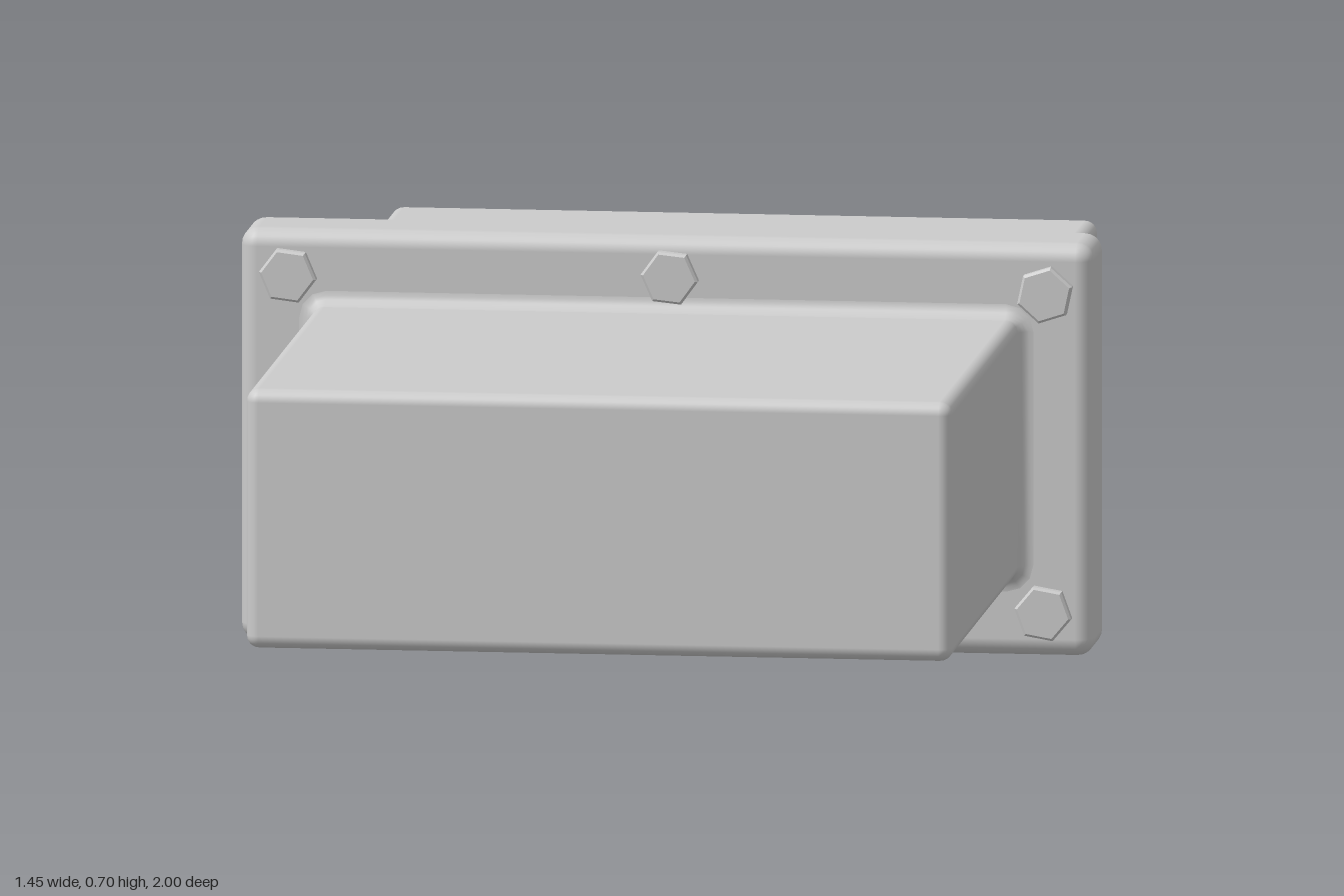
import * as THREE from 'three';
import { RoundedBoxGeometry } from 'three/addons/geometries/RoundedBoxGeometry.js';

const material = new THREE.MeshStandardMaterial({ color: 0xcccccc });
const DUCT = { w: 1.2, h: 0.443, d: 2, y: 0.356, r: 0.022 };
const FLANGE = { w: 1.45, h: 0.705, d: 0.157, y: 0.3525, r: 0.03 };

function roundedBlock(name, { w, h, d, y, r }) {
  const mesh = new THREE.Mesh(new RoundedBoxGeometry(w, h, d, 3, r), material);
  mesh.name = name;
  mesh.position.y = y;
  return mesh;
}

// Concave weld running round the duct where it meets the flange face
function filletGeometry(radius) {
  const steps = 5, perCorner = 4, count = perCorner * 4;
  const cx = DUCT.w / 2 - DUCT.r, cy = DUCT.h / 2 - DUCT.r;
  const positions = [], index = [];
  for (let i = 0; i <= steps; i++) {
    const t = (i / steps) * Math.PI / 2;
    const grow = DUCT.r + radius * (1 - Math.cos(t));
    const z = FLANGE.d / 2 + radius * (1 - Math.sin(t));
    for (let k = 0; k < 4; k++) {
      const sx = k === 0 || k === 3 ? 1 : -1, sy = k < 2 ? 1 : -1;
      for (let j = 0; j < perCorner; j++) {
        const a = (k + j / (perCorner - 1)) * Math.PI / 2;
        positions.push(sx * cx + grow * Math.cos(a), sy * cy + grow * Math.sin(a), z);
      }
    }
  }
  for (let i = 0; i < steps; i++) {
    for (let j = 0; j < count; j++) {
      const a = i * count + j, b = i * count + (j + 1) % count;
      index.push(a, a + count, b, b, a + count, b + count);
    }
  }
  const geometry = new THREE.BufferGeometry();
  geometry.setAttribute('position', new THREE.Float32BufferAttribute(positions, 3));
  geometry.setIndex(index);
  geometry.computeVertexNormals();
  return geometry;
}

// Hexagonal bolt passing through the flange, heads showing on both faces
function boltGeometry(radius, length, bevel) {
  const points = [];
  for (let i = 0; i < 6; i++) {
    const a = i * Math.PI / 3;
    points.push(new THREE.Vector2(radius * Math.cos(a), radius * Math.sin(a)));
  }
  const geometry = new THREE.ExtrudeGeometry(new THREE.Shape(points), {
    depth: length - 2 * bevel, bevelEnabled: true, bevelThickness: bevel,
    bevelSize: bevel, bevelOffset: -bevel, bevelSegments: 1,
  });
  return geometry.translate(0, 0, bevel - length / 2);
}

export function createModel() {
  const model = new THREE.Group();
  model.name = 'flangedDuct';
  model.add(roundedBlock('duct', DUCT), roundedBlock('flange', FLANGE));

  // Fillets on front and back faces
  const fillet = filletGeometry(0.024);
  for (const [name, turn] of [['frontFillet', 0], ['backFillet', Math.PI]]) {
    const mesh = new THREE.Mesh(fillet, material);
    mesh.name = name;
    mesh.position.y = DUCT.y;
    mesh.rotation.y = turn;
    model.add(mesh);
  }

  // Bolts, each tightened to its own angle: x, y, degrees
  const bolt = boltGeometry(0.049, 0.196, 0.004);
  const places = [
    [-0.642, 0.628, -7], [0.007, 0.637, -6], [0.645, 0.62, 18],
    [-0.642, 0.09, 20], [-0.018, 0.076, 20], [0.642, 0.076, -10],
  ];
  places.forEach(([x, y, degrees], i) => {
    const mesh = new THREE.Mesh(bolt, material);
    mesh.name = `bolt${i + 1}`;
    mesh.position.set(x, y, 0);
    mesh.rotation.z = THREE.MathUtils.degToRad(degrees);
    model.add(mesh);
  });
  return model;
}
